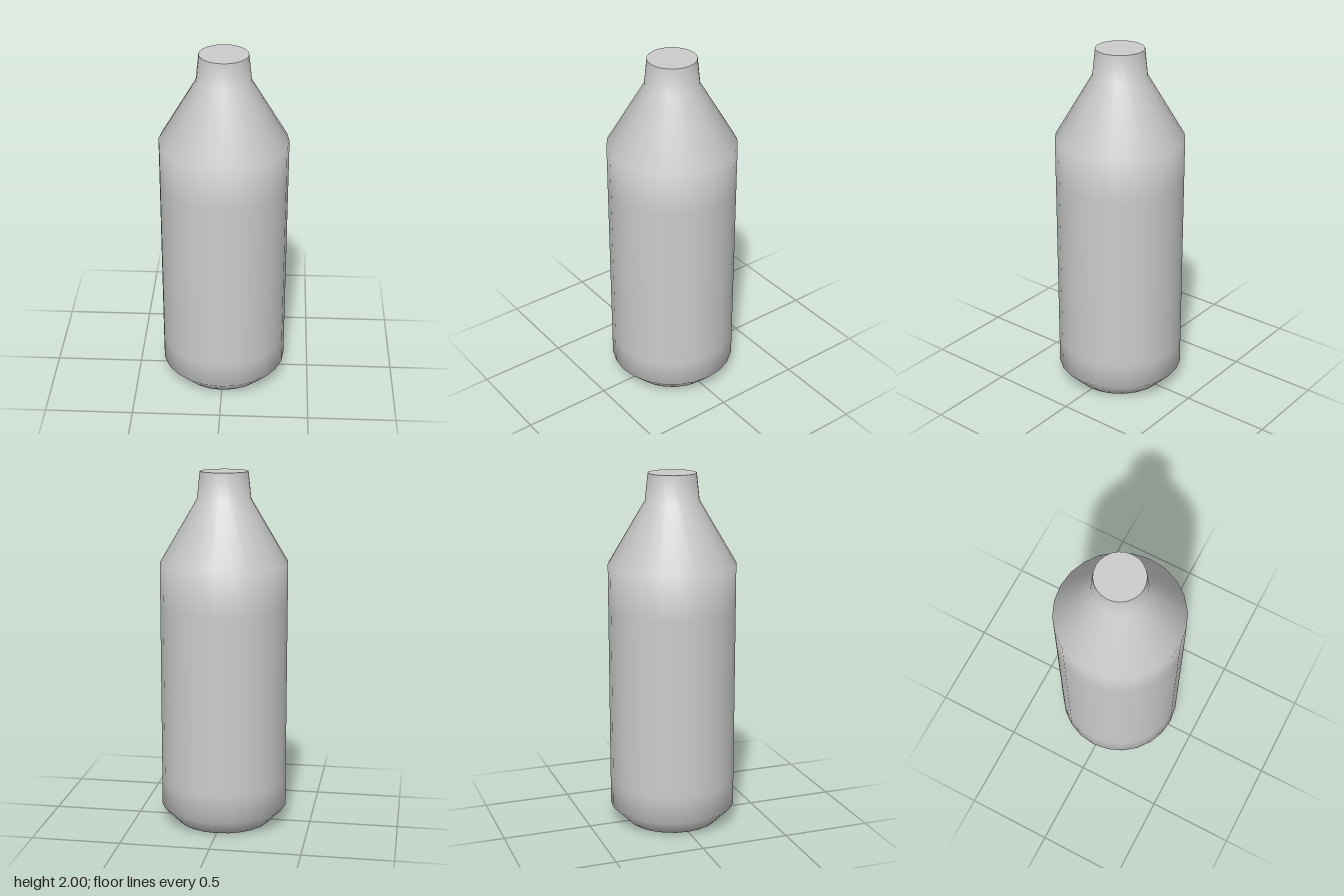
import * as THREE from 'three';

const SIDES = 24;

export function createModel() {
  const model = new THREE.Group();
  model.name = 'bottle';
  const paleGrey = new THREE.MeshStandardMaterial({ color: 0xcccccc });
  paleGrey.name = 'pale grey';

  // Base, chamfer, straight wall, shoulder and neck in one smooth profile
  const profile = [
    [0, 0], [0.265, 0], [0.357, 0.095], [0.357, 0.25], [0.357, 1.25],
    [0.357, 1.5], [0.15, 1.85], [0.134, 2],
  ].map(([r, y]) => new THREE.Vector2(r, y));
  const body = new THREE.Mesh(new THREE.LatheGeometry(profile, SIDES), paleGrey);
  body.name = 'body';

  // Flat closed top with a sharp rim
  const top = new THREE.Mesh(new THREE.CircleGeometry(0.134, SIDES), paleGrey);
  top.name = 'top';
  top.rotation.x = -Math.PI / 2;
  top.position.y = 2;

  model.add(body, top);
  return model;
}
